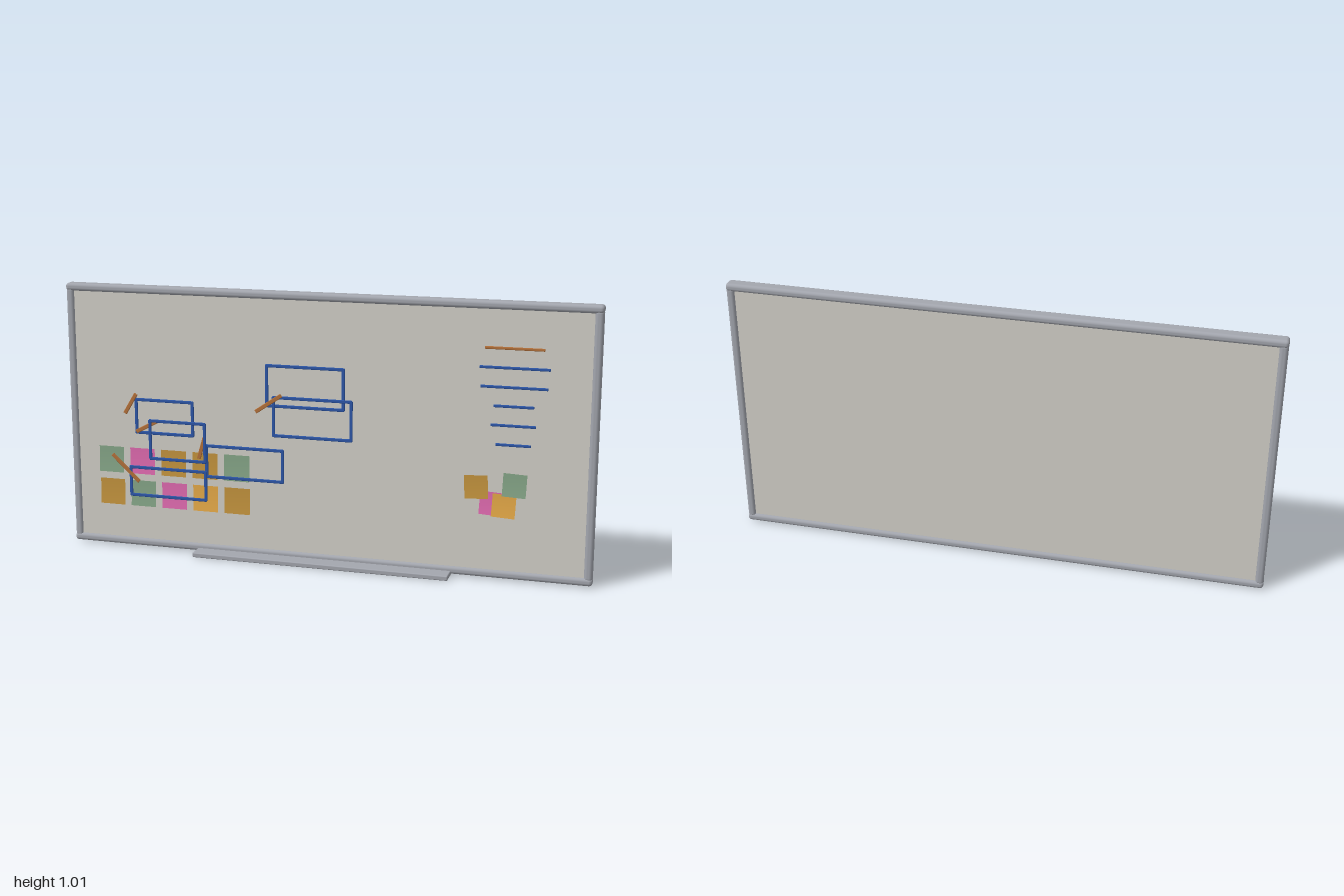
import * as THREE from 'three';
import { RoundedBoxGeometry } from 'three/addons/geometries/RoundedBoxGeometry.js';

const paint = (color, side = THREE.FrontSide) => new THREE.MeshStandardMaterial({ color, side });

export function createModel() {
  const model = new THREE.Group();
  const metal = paint(0xa3a6ae);
  const panel = paint(0xd3d1c9);
  const blue = paint(0x2c56a8);
  const orange = paint(0xb5713a);
  const paper = {
    ochre: paint(0xc4943e, THREE.DoubleSide),
    yellow: paint(0xe6aa48, THREE.DoubleSide),
    pink: paint(0xe06bb0, THREE.DoubleSide),
    green: paint(0x86a688, THREE.DoubleSide),
  };

  function add(name, geometry, material, x, y, z, parent = model) {
    const mesh = new THREE.Mesh(geometry, material);
    mesh.name = name;
    mesh.position.set(x, y, z);
    parent.add(mesh);
    return mesh;
  }

  // Writing panel and its rounded metal frame
  add('boardPanel', new THREE.BoxGeometry(1.95, 0.97, 0.028), panel, 0, 0.512, -0.031);
  const rail = new RoundedBoxGeometry(2, 0.029, 0.05, 4, 0.012);
  add('topRail', rail, metal, 0, 1.002, -0.031);
  add('bottomRail', rail, metal, 0, 0.022, -0.031);
  const post = new RoundedBoxGeometry(0.03, 0.975, 0.046, 4, 0.012);
  for (const s of [-1, 1]) {
    add(s > 0 ? 'leftPost' : 'rightPost', post, metal, s * 0.984, 0.512, -0.031);
  }

  // Pen tray below the board
  add('penTray', new RoundedBoxGeometry(0.98, 0.018, 0.078, 3, 0.004), metal, 0, 0.011, 0.017);

  // Paper note, gently bowed away from the board
  function note(color, x, y, z, size, turn = 0) {
    const sheet = new THREE.PlaneGeometry(size, size, 1, 6);
    const p = sheet.attributes.position;
    for (let i = 0; i < p.count; i++) {
      const t = p.getY(i) / size + 0.5;
      p.setZ(i, 0.005 * (1 - t) * (1 - t));
    }
    sheet.computeVertexNormals();
    add(color + 'Note', sheet, paper[color], x, y, z).rotation.z = turn;
  }

  // Two rows of notes
  const rows = [
    { y: 0.347, z: -0.005, colors: ['green', 'pink', 'ochre', 'ochre', 'green'] },
    { y: 0.219, z: -0.007, colors: ['ochre', 'green', 'pink', 'yellow', 'ochre'] },
  ];
  for (const { y, z, colors } of rows) {
    colors.forEach((c, i) => note(c, -0.832 + i * 0.126, y, z, 0.1));
  }

  // Loose cluster of notes
  note('ochre', 0.58, 0.353, 0.019, 0.085, 0.05);
  note('green', 0.717, 0.367, 0.018, 0.085, -0.04);
  note('pink', 0.636, 0.296, 0.02, 0.085, -0.05);
  note('yellow', 0.681, 0.29, 0.021, 0.085, -0.05);

  // Marker stroke between two points
  function stroke(name, material, x1, y1, x2, y2, z, width, parent = model) {
    const length = Math.hypot(x2 - x1, y2 - y1) + width * 0.6;
    const bar = new RoundedBoxGeometry(length, width, 0.006, 2, 0.0025);
    const mesh = add(name, bar, material, (x1 + x2) / 2, (y1 + y2) / 2, z, parent);
    mesh.rotation.z = Math.atan2(y2 - y1, x2 - x1);
  }

  // Drawn boxes: left, right, bottom, top, depth
  const boxes = [
    [-0.21, 0.081, 0.593, 0.743, -0.012],
    [-0.182, 0.113, 0.483, 0.627, -0.004],
    [-0.725, -0.5, 0.46, 0.587, -0.003],
    [-0.666, -0.448, 0.365, 0.511, 0.011],
    [-0.445, -0.147, 0.308, 0.427, 0.001],
    [-0.75, -0.448, 0.216, 0.325, 0.007],
  ];
  for (const [l, r, b, t, z] of boxes) {
    const box = new THREE.Group();
    box.name = 'drawnBox';
    const corners = [[l, b], [r, b], [r, t], [l, t]];
    corners.forEach((c, i) => {
      stroke('boxEdge', blue, ...c, ...corners[(i + 1) % 4], z, 0.012, box);
    });
    model.add(box);
  }

  // Slanted accent strokes
  const accents = [
    [-0.768, 0.535, -0.726, 0.605, 0],
    [-0.722, 0.465, -0.645, 0.506, 0],
    [-0.247, 0.572, -0.155, 0.634, -0.001],
    [-0.82, 0.367, -0.72, 0.272, 0.008],
    [-0.474, 0.38, -0.452, 0.455, 0.004],
  ];
  for (const a of accents) stroke('accentStroke', orange, ...a, 0.015);

  // List of horizontal lines: start, end, height
  const lines = [
    [0.6, 0.805, 0.857], [0.583, 0.826, 0.788], [0.588, 0.82, 0.719],
    [0.636, 0.773, 0.651], [0.628, 0.782, 0.582], [0.647, 0.766, 0.512],
  ];
  lines.forEach(([a, b, y], i) => {
    stroke('listLine', i ? blue : orange, a, y, b, y, 0.014, 0.01);
  });

  return model;
}
